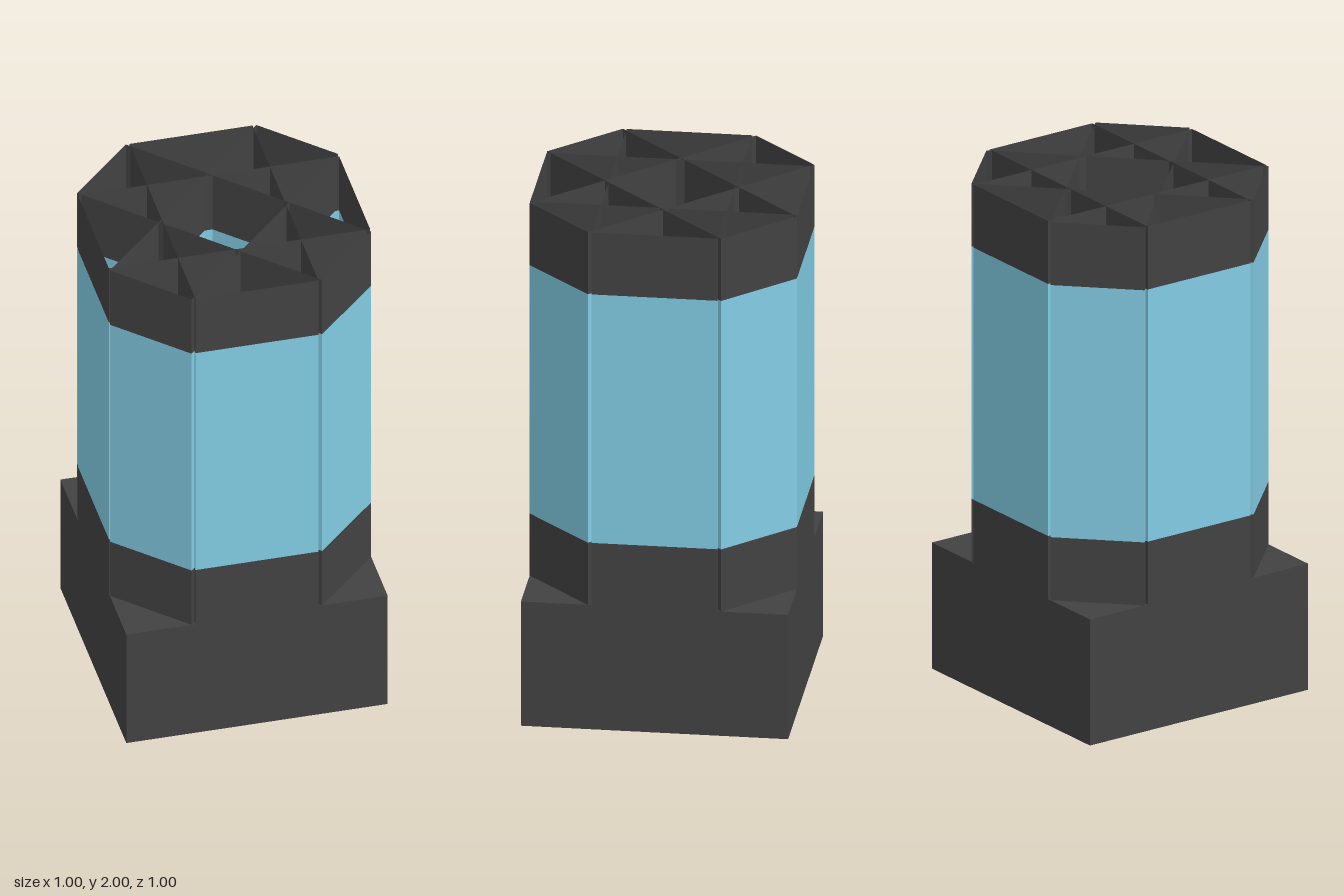
import * as THREE from 'three';

// Box shell with chosen faces left out (face order: +x, -x, +y, -y, +z, -z)
function openBox(w, h, d, skip) {
  const g = new THREE.BoxGeometry(w, h, d);
  const idx = Array.from(g.index.array);
  g.setIndex(idx.filter((_, i) => !skip.includes(Math.floor(i / 6))));
  g.clearGroups();
  return g;
}

export function createModel() {
  const model = new THREE.Group();
  model.name = 'octagonalLamp';

  const frame = new THREE.MeshStandardMaterial({ color: 0x424242, side: THREE.DoubleSide });
  frame.name = 'darkFrame';
  const glass = new THREE.MeshStandardMaterial({ color: 0x82cce4, side: THREE.DoubleSide });
  glass.name = 'blueGlass';

  const add = (parent, name, geometry, material, y) => {
    const mesh = new THREE.Mesh(geometry, material);
    mesh.name = name;
    mesh.position.y = y;
    parent.add(mesh);
  };

  // Square base, hollow and open underneath
  add(model, 'base', openBox(1, 0.5, 1, [3]), frame, 0.25);

  // Column bands: name, bottom, top, material
  const bands = [
    ['lowerCollar', 0.5, 0.75, frame],
    ['glassBand', 0.75, 1.75, glass],
    ['upperCollar', 1.75, 2, frame],
  ];

  // Four crossing hollow shafts, open at both ends, form the octagon
  for (let i = 0; i < 4; i++) {
    const diagonal = i % 2 === 1;
    const width = diagonal ? 0.354 : 0.47;
    const length = diagonal ? 1.06 : 1;
    const shaft = new THREE.Group();
    shaft.name = diagonal ? 'diagonalShaft' : 'straightShaft';
    shaft.rotation.y = (i * Math.PI) / 4;
    for (const [name, y0, y1, material] of bands) {
      add(shaft, name, openBox(width, y1 - y0, length, [2, 3]), material, (y0 + y1) / 2);
    }
    model.add(shaft);
  }
  return model;
}
